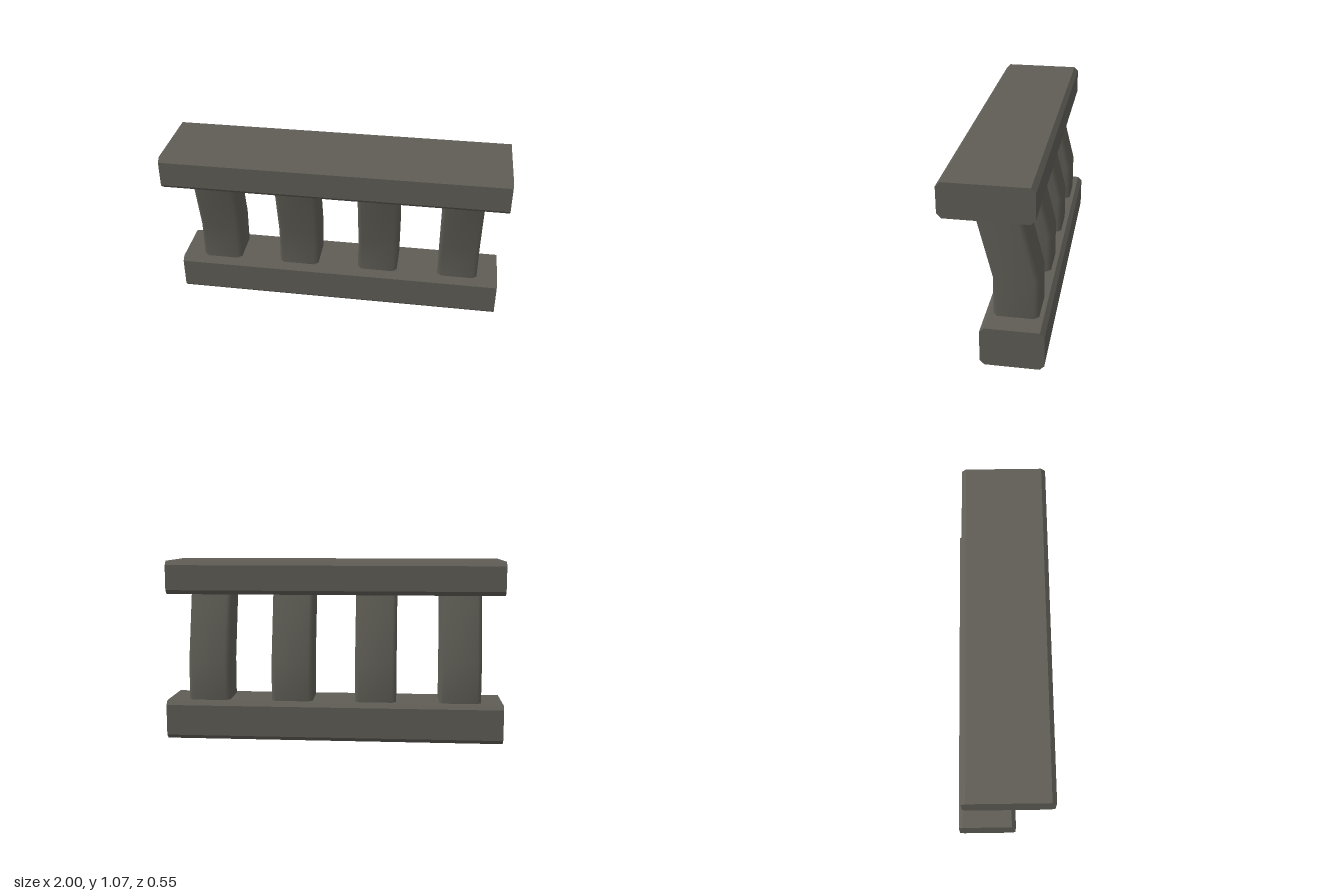
import * as THREE from 'three';

const stone = new THREE.MeshStandardMaterial({ color: 0x5f5d55 });

// Corners of a rectangle with cut corners, as [u, v] pairs
function chamferedRect(u0, u1, v0, v1, c) {
  return [
    [u1, v0 + c], [u1, v1 - c], [u1 - c, v1], [u0 + c, v1],
    [u0, v1 - c], [u0, v0 + c], [u0 + c, v0], [u1 - c, v0],
  ];
}

// Long beam along x with a chamfered z/y section
function rail(name, z0, z1, y0, y1) {
  const points = chamferedRect(z0, z1, y0, y1, 0.025).map(([z, y]) => new THREE.Vector2(z, y));
  const geometry = new THREE.ExtrudeGeometry(new THREE.Shape(points), { depth: 2, bevelEnabled: false });
  geometry.translate(0, 0, -1).rotateY(-Math.PI / 2);
  const mesh = new THREE.Mesh(geometry, stone);
  mesh.name = name;
  return mesh;
}

// Upright lofted through three sections, with its upper half leaning forward
function balusterGeometry() {
  const section = chamferedRect(-0.123, 0.123, -0.225, 0.025, 0.025);
  const levels = [[0.23, 0], [0.457, 0], [0.868, 0.102]]; // [height, forward shift]
  const n = section.length;
  const positions = [];
  const index = [];
  for (const [y, shift] of levels)
    for (const [x, z] of section) positions.push(x, y, z + shift);
  for (let r = 0; r < levels.length - 1; r++) {
    for (let j = 0; j < n; j++) {
      const a = r * n + j;
      const b = r * n + (j + 1) % n;
      index.push(a, a + n, b, b, a + n, b + n);
    }
  }
  const geometry = new THREE.BufferGeometry();
  geometry.setAttribute('position', new THREE.Float32BufferAttribute(positions, 3));
  geometry.setIndex(index);
  geometry.computeVertexNormals();
  return geometry;
}

export function createModel() {
  const model = new THREE.Group();
  model.name = 'balustrade';

  model.add(rail('bottomRail', -0.275, 0.075, 0, 0.232));
  model.add(rail('topRail', -0.225, 0.275, 0.867, 1.065));

  // Four evenly spaced uprights
  const geometry = balusterGeometry();
  for (let i = 0; i < 4; i++) {
    const baluster = new THREE.Mesh(geometry, stone);
    baluster.name = `baluster${i + 1}`;
    baluster.position.x = -0.75 + i * 0.5;
    model.add(baluster);
  }
  return model;
}
